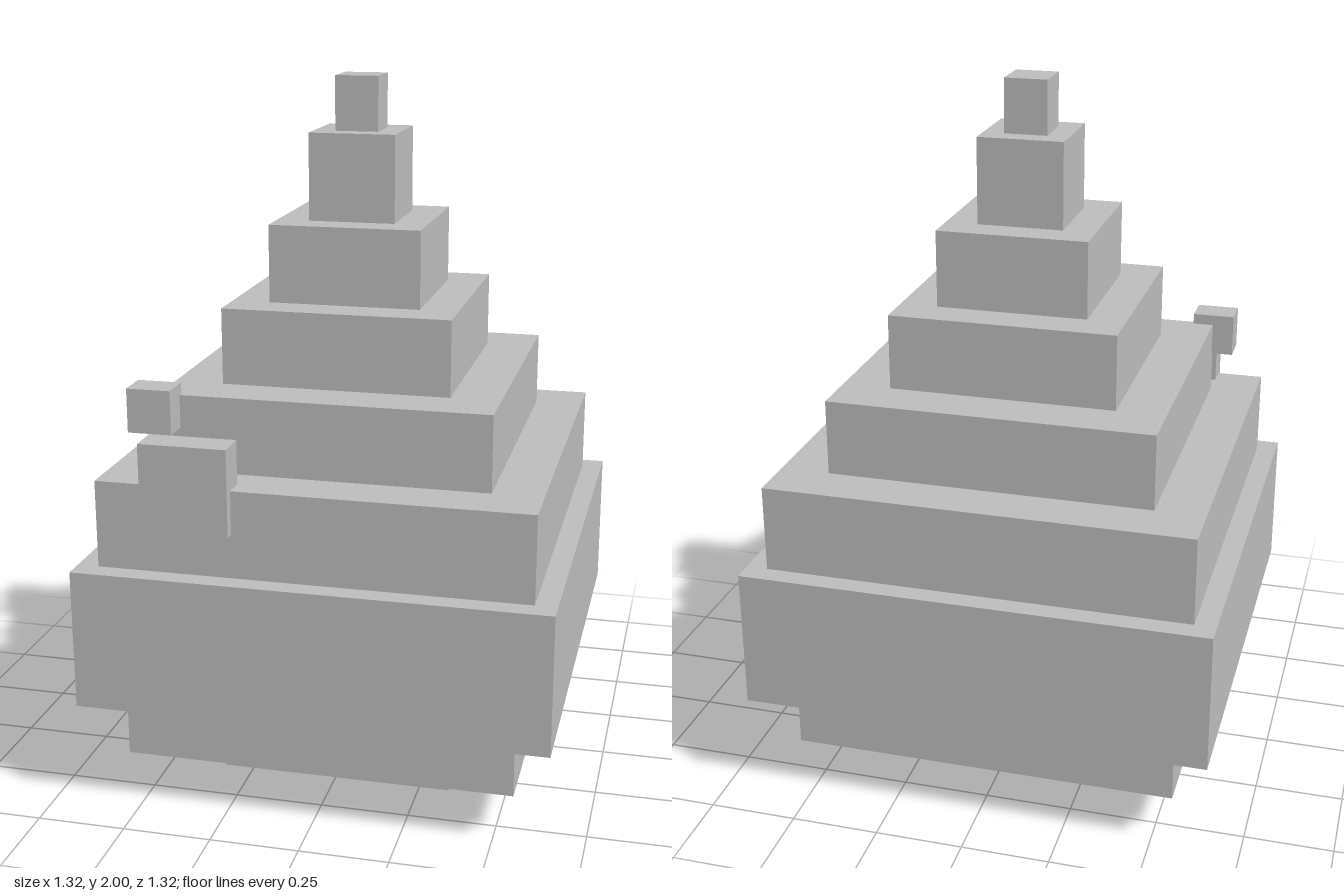
import * as THREE from 'three';

export function createModel() {
  const model = new THREE.Group();
  model.name = 'blockDroplet';
  const grey = new THREE.MeshStandardMaterial({ color: 0xbfbfbf });
  grey.name = 'light grey';

  // Box given by its minimum and maximum corners
  function addBox(name, [x0, y0, z0], [x1, y1, z1]) {
    const box = new THREE.Mesh(new THREE.BoxGeometry(x1 - x0, y1 - y0, z1 - z0), grey);
    box.position.set((x0 + x1) / 2, (y0 + y1) / 2, (z0 + z1) / 2);
    box.name = name;
    model.add(box);
  }

  // Square tiers, bottom to top: [half width, top height]
  const tiers = [
    [0.336, 0.127], [0.552, 0.312], [0.66, 0.71], [0.6, 0.957], [0.46, 1.172],
    [0.321, 1.386], [0.214, 1.604], [0.122, 1.848], [0.061, 2],
  ];
  let bottom = 0;
  tiers.forEach(([half, top], i) => {
    addBox(`tier${i + 1}`, [-half, bottom, -half], [half, top, half]);
    bottom = top;
  });

  // Highlight blocks on the front right shoulder
  addBox('largeHighlight', [-0.462, 0.835, 0.537], [-0.217, 1.08, 0.63]);
  addBox('smallHighlight', [-0.523, 1.08, 0.444], [-0.4, 1.203, 0.537]);

  return model;
}
